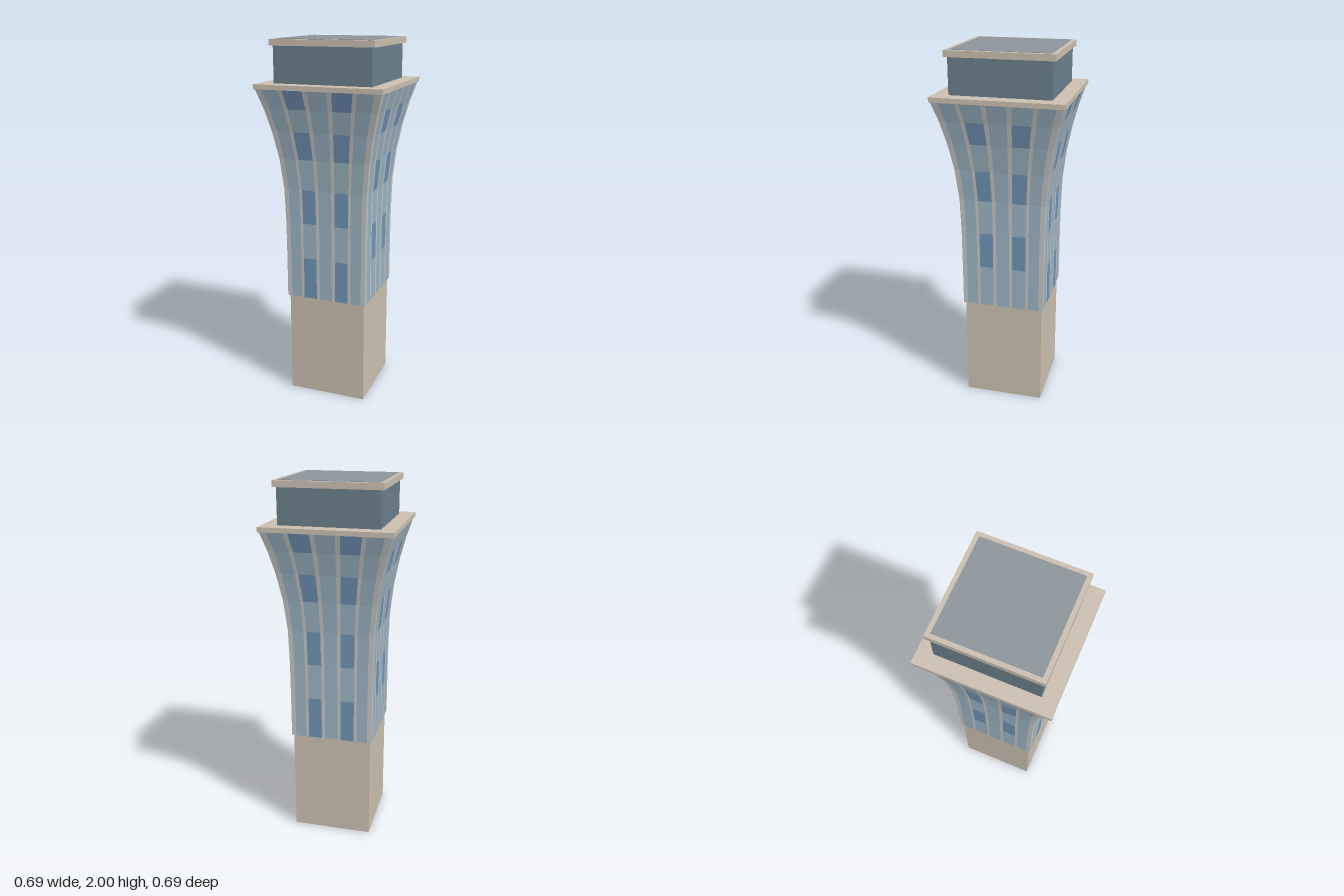
import * as THREE from 'three';

const mat = (name, color) => {
  const m = new THREE.MeshStandardMaterial({ color });
  m.name = name;
  return m;
};

export function createModel() {
  const group = new THREE.Group();
  group.name = 'tower';
  const stone = mat('stone', 0xcabfaf);
  const glass = mat('paleGlass', 0x9ab3c2);
  const tinted = mat('blueGlass', 0x7093b5);
  const frame = mat('frameGrey', 0xc3c5c5);
  const cabGlass = mat('slateGlass', 0x6a7f8a);
  const roof = mat('roofGrey', 0x8d959c);
  const wall = stone.clone();
  wall.name = 'stoneWall';
  wall.side = THREE.DoubleSide;

  const add = (name, geometry, material) => {
    const mesh = new THREE.Mesh(geometry, material);
    mesh.name = name;
    group.add(mesh);
    return mesh;
  };
  // Square block given by half width and its bottom and top heights
  const block = (name, half, y0, y1, material) => {
    const mesh = add(name, new THREE.BoxGeometry(half * 2, y1 - y0, half * 2), material);
    mesh.position.y = (y0 + y1) / 2;
  };

  // Hollow base: four walls, open underneath
  for (let s = 0; s < 4; s++) {
    const g = new THREE.PlaneGeometry(0.44, 0.585);
    g.translate(0, 0.2925, 0.22).rotateY(s * Math.PI / 2);
    add('baseWall', g, wall);
  }
  block('shaftFloor', 0.229, 0.585, 0.59, stone);

  // Flared shaft: [height, half width] of each storey line
  const levels = [[0.585, 0.23], [0.82, 0.23], [1.02, 0.231], [1.21, 0.236],
    [1.38, 0.253], [1.53, 0.28], [1.65, 0.309], [1.75, 0.34]];
  // Column cuts as fractions of the half width; ribs and panes alternate
  const half = [0.155, 0.235, 0.56, 0.63, 0.89, 1];
  const cuts = [...half.map(v => -v).reverse(), ...half];

  const cells = { glass: [], tinted: [], frame: [] };
  for (let s = 0; s < 4; s++) {
    const turn = new THREE.Matrix4().makeRotationY(s * Math.PI / 2);
    for (let r = 0; r < levels.length - 1; r++) {
      const [y0, h0] = levels[r], [y1, h1] = levels[r + 1];
      for (let c = 0; c < cuts.length - 1; c++) {
        const a = cuts[c], b = cuts[c + 1];
        // Blue panes sit in the second and fourth bays, staggered by side
        const blue = (c === 3 || c === 7) && r % 2 === s % 2;
        const kind = c % 2 === 0 ? 'frame' : blue ? 'tinted' : 'glass';
        const [p, q, t, u] = [[a, y0, h0], [b, y0, h0], [b, y1, h1], [a, y1, h1]]
          .map(([f, y, h]) => new THREE.Vector3(f * h, y, h).applyMatrix4(turn));
        cells[kind].push(p, q, t, p, t, u);
      }
    }
  }
  const skin = points => {
    const g = new THREE.BufferGeometry().setFromPoints(points);
    g.computeVertexNormals();
    return g;
  };
  add('shaftPanes', skin(cells.glass), glass);
  add('shaftBluePanes', skin(cells.tinted), tinted);
  add('shaftRibs', skin(cells.frame), frame);

  // Ledge, cab and roof
  block('ledge', 0.347, 1.75, 1.775, stone);
  block('cab', 0.267, 1.775, 1.967, cabGlass);
  block('roofSlab', 0.283, 1.965, 1.998, stone);
  block('roofPanel', 0.26, 1.995, 2, roof);

  return group;
}
